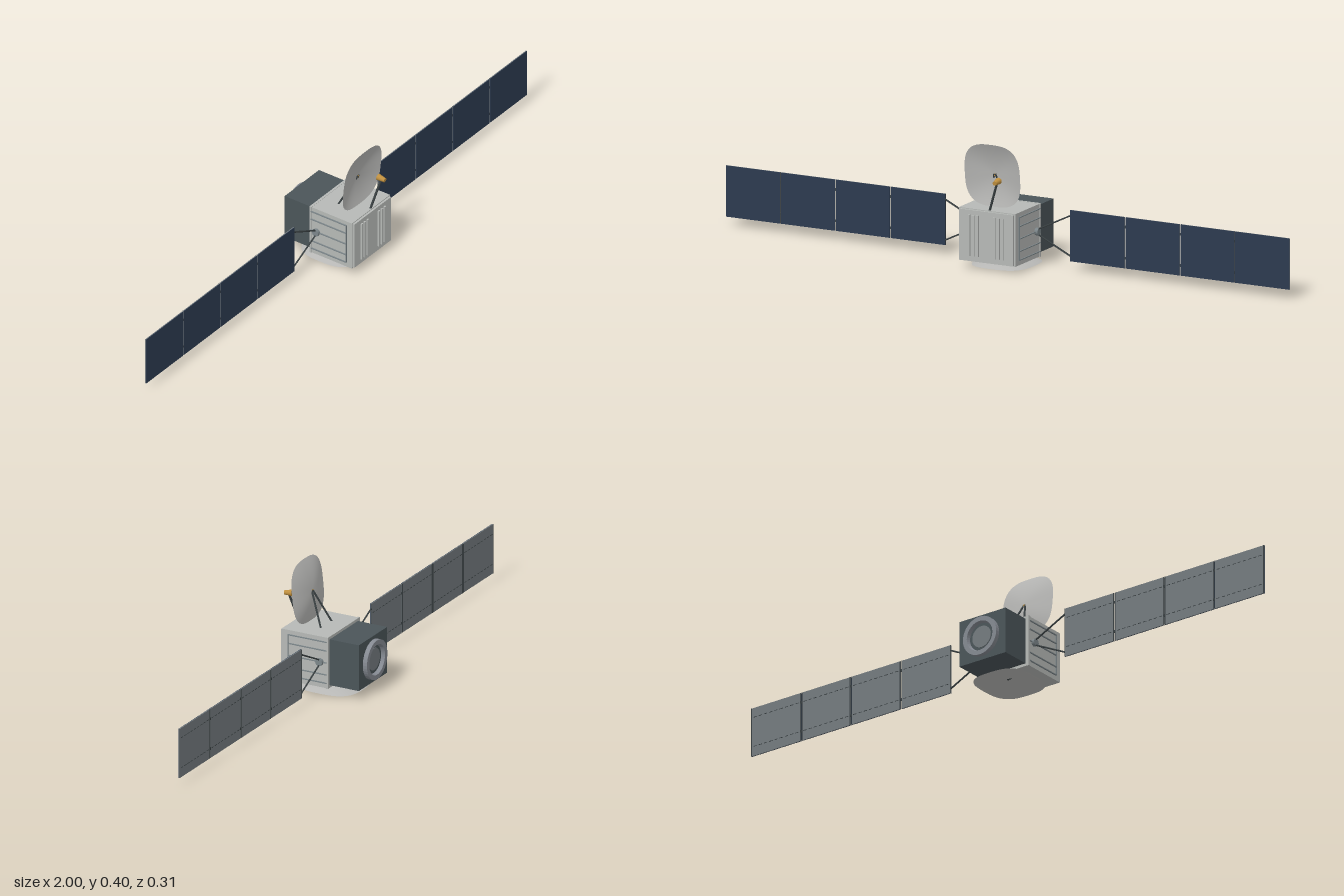
import * as THREE from 'three';

const mat = (name, color, side = THREE.FrontSide) => {
  const m = new THREE.MeshStandardMaterial({ color, side });
  m.name = name;
  return m;
};

export function createModel() {
  const root = new THREE.Group();
  root.name = 'satellite';
  const hull = mat('lightGreyHull', 0xb6b9b6);
  const dishMat = mat('dishGrey', 0xb8b8b6, THREE.DoubleSide);
  const dark = mat('darkModule', 0x4b5559);
  const rib = mat('ribGrey', 0x7c868a);
  const strutMat = mat('strutDark', 0x3a4143);
  const cell = mat('solarNavy', 0x2c3a4f);
  const back = mat('panelBackGrey', 0x747b7f);
  const metal = mat('ringGrey', 0x858a92, THREE.DoubleSide);
  const gold = mat('feedGold', 0xc0903f);

  const add = (name, geo, m, parent = root) => {
    const mesh = new THREE.Mesh(geo, m);
    mesh.name = name;
    parent.add(mesh);
    return mesh;
  };
  // box given by its min and max corners
  const box = (name, m, [x0, y0, z0], [x1, y1, z1], parent = root) => {
    const b = add(name, new THREE.BoxGeometry(x1 - x0, y1 - y0, z1 - z0), m, parent);
    b.position.set((x0 + x1) / 2, (y0 + y1) / 2, (z0 + z1) / 2);
    return b;
  };
  // tapered rod between two points
  const rod = (name, m, a, b, r0, r1 = r0, sides = 8, parent = root) => {
    const p = new THREE.Vector3(...a), q = new THREE.Vector3(...b);
    const d = q.clone().sub(p);
    const c = add(name, new THREE.CylinderGeometry(r1, r0, d.length(), sides), m, parent);
    c.position.copy(p).add(q).multiplyScalar(0.5);
    c.quaternion.setFromUnitVectors(new THREE.Vector3(0, 1, 0), d.normalize());
    return c;
  };

  // main body with front plate and rear rim
  box('body', hull, [-0.1, 0.024, -0.03], [0.1, 0.193, 0.128]);
  box('frontPlate', hull, [-0.096, 0.028, 0.128], [0.096, 0.19, 0.135]);
  box('rearRim', hull, [-0.102, 0.023, -0.035], [0.102, 0.194, -0.027]);
  for (const s of [-1, 1])
    for (const x of [0.03, 0.045, 0.06])
      box('frontRib', hull, [s * x - 0.004, 0.043, 0.135], [s * x + 0.004, 0.175, 0.14]);

  // rear module and its docking ring
  box('rearModule', dark, [-0.09, 0.032, -0.139], [0.09, 0.185, -0.035]);
  const profile = [[0.065, 0], [0.065, 0.015], [0.05, 0.015], [0.046, 0.003]]
    .map(p => new THREE.Vector2(...p));
  const ring = add('rearRing', new THREE.LatheGeometry(profile, 40), metal);
  ring.geometry = ring.geometry.toNonIndexed();
  ring.geometry.computeVertexNormals();
  ring.rotation.x = -Math.PI / 2;
  ring.position.set(0, 0.109, -0.139);
  rod('ringFloor', dark, [0, 0.109, -0.138], [0, 0.109, -0.142], 0.05, 0.05, 40);
  rod('ringCentre', back, [0, 0.109, -0.141], [0, 0.109, -0.144], 0.036, 0.036, 32);

  // one wing, built on +x or -x
  const wing = s => {
    const g = new THREE.Group();
    g.name = s > 0 ? 'leftWing' : 'rightWing';
    root.add(g);
    const zc = -0.007, start = 0.222, pitch = (1 - start) / 4;
    const span = (name, m, x0, y0, z0, x1, y1, z1) =>
      box(name, m, [Math.min(s * x0, s * x1), y0, z0], [Math.max(s * x0, s * x1), y1, z1], g);
    for (let i = 0; i < 4; i++) {
      const x0 = start + i * pitch + (i ? 0.002 : 0);
      const x1 = start + (i + 1) * pitch - (i < 3 ? 0.002 : 0);
      span('panelBack', back, x0, 0.028, zc - 0.002, x1, 0.192, zc + 0.001);
      span('solarCells', cell, x0, 0.028, zc + 0.001, x1, 0.192, zc + 0.0025);
      // dashed seams on the back
      for (const y of [0.06, 0.16])
        for (let k = 0; k < 9; k++) {
          const x = x0 + 0.008 + k * 0.0205;
          span('backDash', strutMat, x, y - 0.001, zc - 0.0027, x + 0.012, y + 0.001, zc - 0.002);
        }
      // dark frame edges
      for (const x of [x0, x1 - 0.0025])
        span('panelEdge', strutMat, x, 0.028, zc - 0.0026, x + 0.0025, 0.192, zc - 0.002);
      // hinges between panels
      if (i) for (const y of [0.06, 0.16])
        span('hinge', strutMat, x0 - 0.005, y - 0.004, zc - 0.002, x0, y + 0.004, zc + 0.001);
    }
    // yoke and hub
    rod('hub', rib, [s * 0.1, 0.109, zc], [s * 0.111, 0.109, zc], 0.0125, 0.0125, 8, g);
    for (const v of [-1, 1])
      rod('yokeArm', strutMat, [s * 0.106, 0.109 + v * 0.008, zc],
        [s * 0.224, 0.109 + v * 0.066, zc], 0.0028, 0.0028, 6, g);
    // side frame and ribs of the body
    for (const y of [0.041, 0.069, 0.109, 0.149, 0.178])
      span('sideRib', rib, 0.1, y - 0.0015, -0.03, 0.104, y + 0.0015, 0.108);
    span('sideRib', rib, 0.1, 0.041, 0.1065, 0.104, 0.178, 0.1085);
  };
  wing(1);
  wing(-1);

  // shallow rounded-square bowl that opens towards +z
  const dish = (name, w, h, depth) => {
    const geo = new THREE.RingGeometry(0.001, 1, 72, 10);
    const p = geo.attributes.position;
    for (let i = 0; i < p.count; i++) {
      const x = p.getX(i), y = p.getY(i), r = Math.hypot(x, y);
      const c = Math.abs(x / r), d = Math.abs(y / r);
      const k = 1 / Math.cbrt(c ** 3 + d ** 3);
      p.setXYZ(i, x * k * w, y * k * h, -depth * (1 - r * r));
    }
    geo.computeVertexNormals();
    return add(name, geo, dishMat);
  };
  const upper = dish('upperDish', 0.098, 0.102, 0.018);
  upper.position.set(0, 0.297, 0.094);
  upper.rotation.x = 0.108;
  const lower = dish('lowerDish', 0.098, 0.104, 0.016);
  lower.rotation.x = Math.PI / 2;

  // dish supports
  for (const s of [-1, 1]) {
    rod('upperDishStrut', strutMat, [s * 0.035, 0.19, 0.027], [s * 0.002, 0.3, 0.079], 0.003);
    rod('lowerDishStrut', strutMat, [s * 0.02, 0.03, 0.014], [s * 0.002, 0.014, -0.003], 0.003);
  }
  rod('dishBoss', gold, [0, 0.297, 0.075], [0, 0.297, 0.08], 0.004);

  // feed horn on its boom
  rod('feedBoom', strutMat, [0.005, 0.19, 0.122], [0.04, 0.287, 0.138], 0.004, 0.004);
  rod('feedHorn', gold, [0.04, 0.2925, 0.126], [0.04, 0.2895, 0.153], 0.0105, 0.007, 16);

  return root;
}
